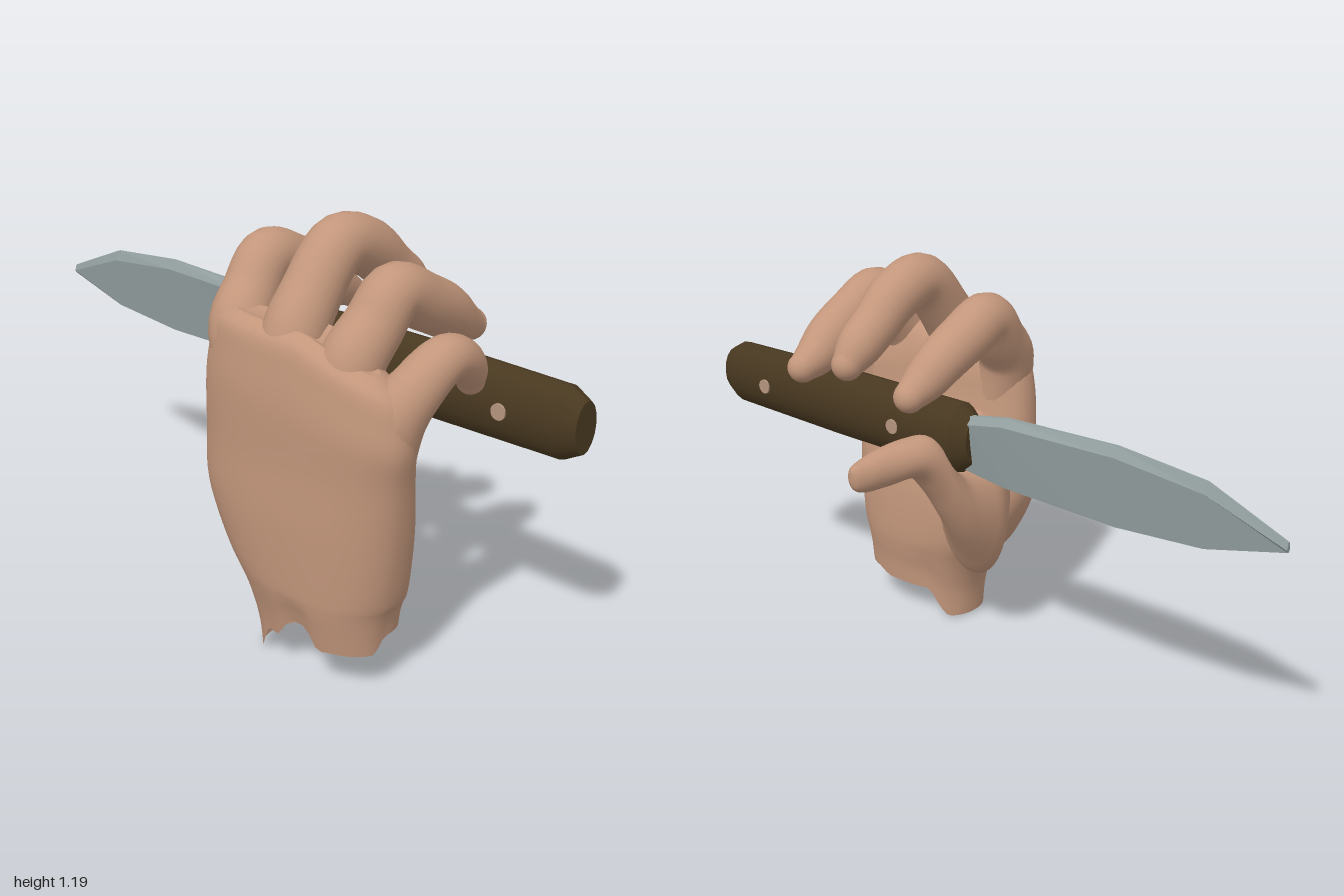
import * as THREE from 'three';
import { toCreasedNormals } from 'three/addons/utils/BufferGeometryUtils.js';

const V = (x, y, z) => new THREE.Vector3(x, y, z);

// Smoothly resample rows of numbers, column by column
function resample(rows, n) {
  const columns = rows[0].map((_, c) => new THREE.SplineCurve(rows.map(r => new THREE.Vector2(r[c], 0))));
  return Array.from({ length: n + 1 }, (_, i) => columns.map(c => c.getPoint(i / n).x));
}

// Skin a list of closed rings, optionally closing either end
function loft(rings, capStart, capEnd) {
  const n = rings[0].length, points = rings.flat(), index = [];
  for (let i = 0; i < rings.length - 1; i++) {
    for (let j = 0; j < n; j++) {
      const a = i * n + j, b = i * n + (j + 1) % n;
      index.push(a, b, b + n, a, b + n, a + n);
    }
  }
  const cap = (ring, start, flip) => {
    const centre = ring.reduce((s, p) => s.add(p), V(0, 0, 0)).divideScalar(n);
    const c = points.push(centre) - 1;
    for (let j = 0; j < n; j++) {
      const a = start + j, b = start + (j + 1) % n;
      if (flip) index.push(c, b, a);
      else index.push(c, a, b);
    }
  };
  if (capStart) cap(rings[0], 0, true);
  if (capEnd) cap(rings[rings.length - 1], (rings.length - 1) * n, false);
  const geometry = new THREE.BufferGeometry().setFromPoints(points);
  geometry.setIndex(index);
  geometry.computeVertexNormals();
  return geometry;
}

// Ring around a centre, spanned by two half-axes; power 2 is an ellipse
function ring(centre, u, v, n, power = 2) {
  const s = k => Math.sign(k) * Math.abs(k) ** (2 / power);
  return Array.from({ length: n }, (_, j) => {
    const a = j / n * Math.PI * 2;
    return centre.clone().addScaledVector(u, s(Math.cos(a))).addScaledVector(v, s(Math.sin(a)));
  });
}

// Finger from rows of x, y, z, radius, with a round tip
function fingerGeometry(rows) {
  const samples = resample(rows, 36);
  const centres = samples.map(s => V(s[0], s[1], s[2]));
  const rings = [];
  const addRing = (c, t, r) => {
    const u = V(1, 0, 0).addScaledVector(t, -t.x).normalize();
    const v = t.clone().cross(u);
    rings.push(ring(c, u.multiplyScalar(r), v.multiplyScalar(r), 24));
  };
  let tangent;
  centres.forEach((c, i) => {
    tangent = centres[Math.min(i + 1, 36)].clone().sub(centres[Math.max(i - 1, 0)]).normalize();
    addRing(c, tangent, samples[i][3]);
  });
  const r = samples[36][3];
  for (let k = 1; k < 7; k++) {
    const a = k / 7 * Math.PI / 2;
    addRing(centres[36].clone().addScaledVector(tangent, r * Math.sin(a)), tangent, r * Math.cos(a));
  }
  return loft(rings, true, true);
}

// Ragged lower edge of the wrist, longest on the thumb side
function wristEdge(x, z) {
  const step = THREE.MathUtils.smoothstep;
  const notch = z > 0.25 ? 0.07 * Math.exp(-(((x - 0.46) / 0.055) ** 4)) : 0;
  const side = 0.045 * step(x, 0.6, 0.64) * (1 - step(z, 0.24, 0.28));
  return 0.095 * step(x, 0.28, 0.35) + notch + side + 0.015 * step(x, 0.5, 0.56);
}

// Palm sections: y, x from, x to, z from, z to
function palmGeometry() {
  const rows = [
    [0.00, 0.25, 0.655, 0.10, 0.365], [0.10, 0.24, 0.66, 0.095, 0.375],
    [0.20, 0.20, 0.67, 0.085, 0.387], [0.30, 0.12, 0.69, 0.08, 0.395],
    [0.45, 0.05, 0.71, 0.09, 0.40], [0.60, 0.05, 0.725, 0.125, 0.395],
    [0.75, 0.06, 0.74, 0.155, 0.395], [0.85, 0.075, 0.735, 0.17, 0.385],
    [0.92, 0.10, 0.71, 0.20, 0.37], [0.95, 0.17, 0.64, 0.24, 0.33]];
  const rings = resample(rows, 54).map(([y, x0, x1, z0, z1]) => {
    const section = ring(V((x0 + x1) / 2, y, (z0 + z1) / 2), V(0, 0, (z1 - z0) / 2), V((x1 - x0) / 2, 0, 0), 64, 2.3);
    const slope = 0.35 * THREE.MathUtils.smoothstep(y, 0.55, 0.9);
    for (const p of section) {
      if (y < 0.25) {
        const edge = wristEdge(p.x, p.z);
        p.y = edge + y * (0.25 - edge) / 0.25;
      }
      p.y -= slope * Math.max(0, p.x - 0.45);
    }
    return section;
  });
  return loft(rings, false, true);
}

// Thumb and its web, sections: z, x from, x to, y from, y to
function thumbGeometry() {
  const rows = [
    [0.22, 0.09, 0.36, 0.22, 0.74], [0.15, 0.04, 0.33, 0.21, 0.72],
    [0.09, 0.005, 0.27, 0.23, 0.65], [0.03, 0.00, 0.21, 0.31, 0.615],
    [-0.04, 0.005, 0.16, 0.41, 0.62], [-0.09, 0.015, 0.15, 0.49, 0.675],
    [-0.14, 0.03, 0.16, 0.575, 0.755], [-0.20, 0.05, 0.175, 0.645, 0.762],
    [-0.29, 0.085, 0.185, 0.642, 0.752], [-0.36, 0.105, 0.18, 0.645, 0.737],
    [-0.392, 0.12, 0.165, 0.66, 0.73], [-0.402, 0.135, 0.15, 0.685, 0.715]];
  const rings = resample(rows, 55).map(([z, x0, x1, y0, y1]) =>
    ring(V((x0 + x1) / 2, (y0 + y1) / 2, z), V(0, (y1 - y0) / 2, 0), V((x1 - x0) / 2, 0, 0), 36));
  return loft(rings, true, true);
}

// Blade sections: x, spine, ridge, cutting edge, half thickness
function bladeGeometry() {
  const rows = [
    [-1, 0.738, 0.718, 0.71, 0.008], [-0.77, 0.832, 0.802, 0.65, 0.016],
    [-0.5, 0.857, 0.83, 0.63, 0.021], [-0.13, 0.845, 0.824, 0.638, 0.025],
    [0.05, 0.812, 0.792, 0.66, 0.026]];
  const rings = rows.map(([x, top, ridge, edge, h]) =>
    [[top, 0.25], [ridge, 1], [edge, 0.25], [edge, -0.25], [ridge, -1], [top, -0.25]]
      .map(([y, k]) => V(x, y, -0.072 + k * h)));
  return toCreasedNormals(loft(rings, true, true), 0.1);
}

// Handle sections: x, half height, half depth
function handleGeometry() {
  const rows = [[-0.015, 0.07, 0.042], [0.03, 0.105, 0.067], [0.5, 0.106, 0.068], [0.95, 0.098, 0.064], [1, 0.07, 0.045]];
  const rings = rows.map(([x, hy, hz]) => ring(V(x, 0.747, -0.068), V(0, hy, 0), V(0, 0, hz), 16));
  return toCreasedNormals(loft(rings, true, true), 0.5);
}

export function createModel() {
  const material = (name, color, side = THREE.FrontSide) => {
    const m = new THREE.MeshStandardMaterial({ color, side });
    m.name = name;
    return m;
  };
  const skin = material('skin', 0xc2967b, THREE.DoubleSide);
  const steel = material('steel', 0x929e9e);
  const wood = material('dark wood', 0x483820);
  const pin = material('rivet', 0xb5957f);

  const model = new THREE.Group();
  const hand = new THREE.Group(), knife = new THREE.Group();
  hand.name = 'hand';
  knife.name = 'knife';
  model.add(hand, knife);
  const add = (parent, name, geometry, mat) => {
    const mesh = new THREE.Mesh(geometry, mat);
    mesh.name = name;
    parent.add(mesh);
    return mesh;
  };

  // Hand
  add(hand, 'palm', palmGeometry(), skin);
  add(hand, 'thumb', thumbGeometry(), skin);
  const fingers = {
    indexFinger: [[0.19, 0.70, 0.26, 0.08], [0.15, 0.87, 0.265, 0.085], [0.125, 0.96, 0.20, 0.078], [0.113, 1.034, 0.13, 0.076],
      [0.11, 1.00, 0.03, 0.075], [0.115, 0.955, -0.06, 0.07], [0.125, 0.91, -0.12, 0.062], [0.13, 0.875, -0.18, 0.045]],
    middleFinger: [[0.36, 0.72, 0.28, 0.085], [0.36, 0.89, 0.285, 0.087], [0.358, 1.01, 0.215, 0.08], [0.356, 1.11, 0.12, 0.078],
      [0.355, 1.085, 0.01, 0.077], [0.355, 1.02, -0.075, 0.07], [0.355, 0.965, -0.15, 0.064], [0.355, 0.925, -0.195, 0.046]],
    ringFinger: [[0.52, 0.68, 0.27, 0.08], [0.54, 0.86, 0.275, 0.085], [0.553, 0.965, 0.20, 0.078], [0.56, 1.035, 0.135, 0.075],
      [0.56, 0.99, 0.03, 0.075], [0.555, 0.945, -0.06, 0.073], [0.55, 0.90, -0.13, 0.063], [0.548, 0.875, -0.19, 0.045]],
    littleFinger: [[0.64, 0.60, 0.26, 0.075], [0.67, 0.76, 0.255, 0.078], [0.705, 0.855, 0.20, 0.068], [0.722, 0.903, 0.135, 0.061],
      [0.722, 0.888, 0.075, 0.056], [0.712, 0.845, 0.025, 0.049], [0.705, 0.81, 0.004, 0.037]]
  };
  for (const [name, rows] of Object.entries(fingers)) add(hand, name, fingerGeometry(rows), skin);

  // Knife
  add(knife, 'blade', bladeGeometry(), steel);
  add(knife, 'handle', handleGeometry(), wood);
  for (const x of [0.245, 0.79]) {
    const rivet = add(knife, 'rivet', new THREE.CylinderGeometry(0.022, 0.022, 0.139, 16), pin);
    rivet.rotation.x = Math.PI / 2;
    rivet.position.set(x, 0.747, -0.068);
  }
  return model;
}
